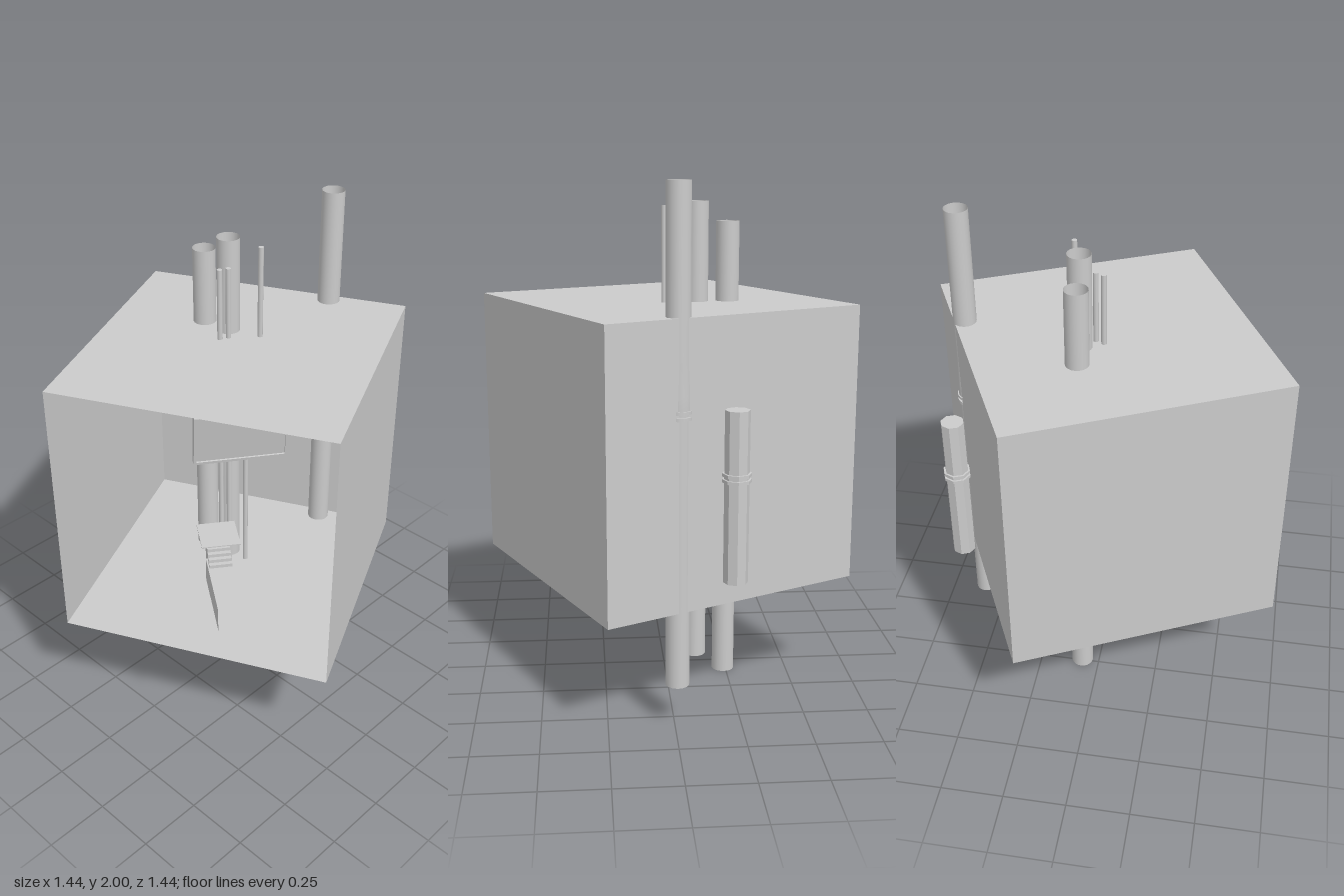
import * as THREE from 'three';

const grey = new THREE.MeshStandardMaterial({ color: 0xcccccc });
const thin = new THREE.MeshStandardMaterial({ color: 0xcccccc, side: THREE.DoubleSide });
const faceted = new THREE.MeshStandardMaterial({ color: 0xcccccc, flatShading: true });
const V2 = (x, y) => new THREE.Vector2(x, y);

function add(parent, name, geometry, material, x = 0, y = 0, z = 0) {
  const mesh = new THREE.Mesh(geometry, material);
  mesh.name = name;
  mesh.position.set(x, y, z);
  parent.add(mesh);
  return mesh;
}

const box = (parent, name, size, at) => add(parent, name, new THREE.BoxGeometry(...size), grey, ...at);

// Two narrow raised bands around a pipe, centred on height y
function collar(parent, x, y, z, sides, material, r = 0.053) {
  for (const dy of [-0.011, 0.011]) {
    add(parent, 'pipeCollar', new THREE.CylinderGeometry(r, r, 0.012, sides), material, x, y + dy, z);
  }
}

// Cubic housing, open at the front
function housing() {
  const g = new THREE.Group();
  g.name = 'openHousing';
  const s = 1.08, h = s / 2;
  const walls = [
    ['backWall', [0, 0, -h], [0, Math.PI, 0]],
    ['leftWall', [h, 0, 0], [0, Math.PI / 2, 0]],
    ['rightWall', [-h, 0, 0], [0, -Math.PI / 2, 0]],
    ['roof', [0, h, 0], [-Math.PI / 2, 0, 0]],
    ['floor', [0, -h, 0], [Math.PI / 2, 0, 0]],
  ];
  for (const [name, p, r] of walls) {
    add(g, name, new THREE.PlaneGeometry(s, s), thin, ...p).rotation.set(...r);
  }
  g.position.y = 0.995;
  g.rotation.y = THREE.MathUtils.degToRad(25.85);
  return g;
}

// Tilted display panel with a raised frame
function panel() {
  const g = new THREE.Group();
  g.name = 'displayPanel';
  const w = 0.39, h = 0.247, b = 0.012;
  box(g, 'panelBody', [w, h, 0.027], [0, 0, -0.0205]);
  const rect = (Type, a, c) => new Type([V2(-a, -c), V2(a, -c), V2(a, c), V2(-a, c)]);
  const frame = rect(THREE.Shape, w / 2, h / 2);
  frame.holes.push(rect(THREE.Path, w / 2 - b, h / 2 - b));
  add(g, 'panelFrame', new THREE.ExtrudeGeometry(frame, { depth: 0.007, bevelEnabled: false }), grey, 0, 0, -0.007);
  g.position.set(-0.009, 1.1, -0.043);
  g.rotation.order = 'YXZ';
  g.rotation.set(THREE.MathUtils.degToRad(10), THREE.MathUtils.degToRad(55), 0);
  return g;
}

// Post with a lid, a stepped link and an angle-section arm
function armUnit() {
  const g = new THREE.Group();
  g.name = 'armUnit';
  box(g, 'armPost', [0.11, 0.255, 0.083], [0, 0.8375, 0]);
  box(g, 'postLid', [0.145, 0.005, 0.145], [0, 0.965, 0]);
  for (let i = 0; i < 4; i++) {
    box(g, 'linkStep', [0.018, 0.013, 0.085], [0.073 + i * 0.015, 0.957 - i * 0.0135, 0.011]);
  }
  const top = add(g, 'armTop', new THREE.PlaneGeometry(0.295, 0.093), thin, 0.2125, 0.91, 0.0115);
  top.rotation.x = -Math.PI / 2;
  add(g, 'armSide', new THREE.PlaneGeometry(0.295, 0.095), thin, 0.2125, 0.8625, 0.058);
  g.position.set(0.248, 0, 0.35);
  g.rotation.y = THREE.MathUtils.degToRad(-36.2);
  return g;
}

export function createModel() {
  const model = new THREE.Group();
  model.name = 'pipeHousing';
  model.add(housing(), panel(), armUnit());

  // Long open pipes, each slightly swollen above its collar
  for (const [x, y, z] of [[-0.24, 0, -0.072], [-0.12, 0.075, -0.082], [-0.01, 0.16, -0.55]]) {
    const profile = [V2(0.045, 0), V2(0.045, 1.03), V2(0.048, 1.04), V2(0.0475, 1.1), V2(0.045, 1.22), V2(0.045, 1.84)];
    add(model, 'longPipe', new THREE.LatheGeometry(profile, 20), thin, x, y, z);
    collar(model, x, y + 1.03, z, 20, grey);
  }

  // Short eight-sided pipe behind the back wall
  add(model, 'shortPipe', new THREE.CylinderGeometry(0.046, 0.046, 0.642, 8), faceted, -0.22, 0.886, -0.57);
  collar(model, -0.22, 0.96, -0.57, 8, faceted, 0.054);

  // Slim rods: a pair carrying the panel and one in two offset lengths
  const rods = [
    [-0.085, 0.22, 1.82, 0.0],
    [-0.071, 0.22, 1.82, -0.032],
    [0.009, 1.08, 1.9, -0.123],
    [-0.027, 0.31, 1.12, -0.085],
  ];
  for (const [x, y0, y1, z] of rods) {
    add(model, 'slimRod', new THREE.CylinderGeometry(0.0105, 0.0105, y1 - y0, 10), grey, x, (y0 + y1) / 2, z);
  }
  return model;
}
